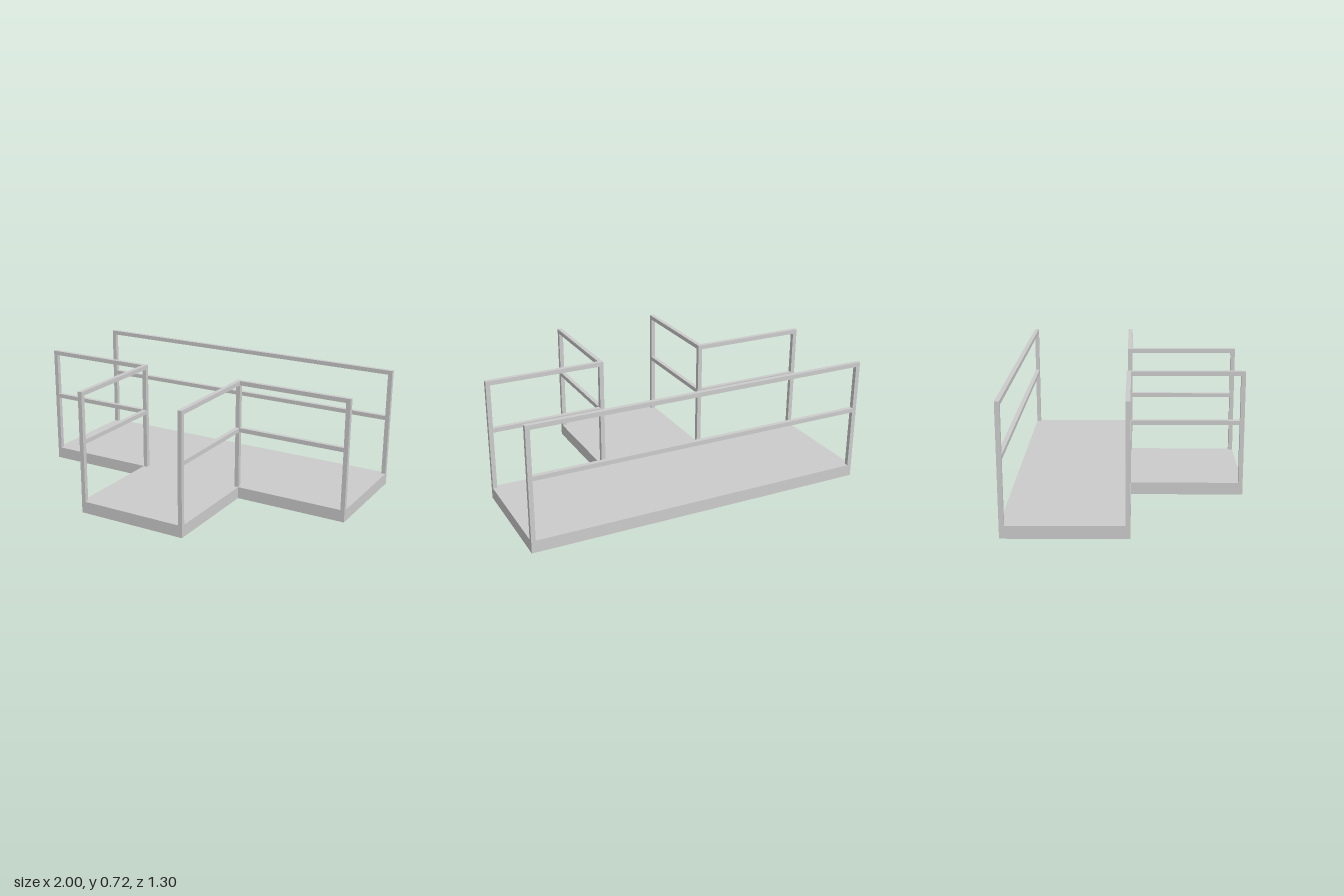
import * as THREE from 'three';

const material = new THREE.MeshStandardMaterial({ color: 0xcccccc, flatShading: true });
const BAR = 0.025, DECK = 0.07, TOP = 0.718, MID = 0.437, SKIN = 0.006;

// T-shaped outline in (x, -z), shrunk inwards by the given inset
function outline(inset) {
  const wing = 1 - inset, stem = 0.332 - inset;
  const back = 0.65 - inset, step = -0.015 + inset, front = -0.65 + inset;
  return [
    [-wing, back], [-wing, step], [-stem, step], [-stem, front],
    [stem, front], [stem, step], [wing, step], [wing, back],
  ].map(([x, y]) => new THREE.Vector2(x, y));
}

// Lay a flat shape horizontally, rising from y by the given height
function slab(name, shape, y, height) {
  const geometry = new THREE.ExtrudeGeometry(shape, { depth: height, bevelEnabled: false });
  geometry.rotateX(-Math.PI / 2);
  geometry.translate(0, y, 0);
  const mesh = new THREE.Mesh(geometry, material);
  mesh.name = name;
  return mesh;
}

function bar(name, w, h, d, x, y, z) {
  const mesh = new THREE.Mesh(new THREE.BoxGeometry(w, h, d), material);
  mesh.position.set(x, y, z);
  mesh.name = name;
  return mesh;
}

// Upright standing on the deck
function post(x, z) {
  return bar('post', BAR, TOP - DECK, BAR, x, (TOP + DECK) / 2, z);
}

// Top and middle rails fitted between two posts
function rails(x0, z0, x1, z1) {
  const alongX = z0 === z1;
  const length = Math.hypot(x1 - x0, z1 - z0) - BAR;
  return [['topRail', TOP], ['middleRail', MID]].map(([name, y]) =>
    bar(name, alongX ? length : BAR, BAR, alongX ? BAR : length,
      (x0 + x1) / 2, y - BAR / 2, (z0 + z1) / 2));
}

export function createModel() {
  const model = new THREE.Group();
  model.name = 'railedPlatform';

  // Deck plate over a thin skirt, open underneath
  model.add(slab('deck', new THREE.Shape(outline(0)), DECK - SKIN, SKIN));
  const skirt = new THREE.Shape(outline(0));
  skirt.holes.push(new THREE.Path(outline(SKIN)));
  model.add(slab('skirt', skirt, 0, DECK - SKIN));

  const end = 1 - BAR / 2, inner = 0.332 - BAR / 2;
  const back = -0.65 + BAR / 2, step = 0.015 - BAR / 2, front = 0.65 - BAR / 2;

  // Long railing across the back
  const backRailing = new THREE.Group();
  backRailing.name = 'backRailing';
  backRailing.add(post(-end, back), post(end, back), ...rails(-end, back, end, back));
  model.add(backRailing);

  // L-shaped railings either side of the front walkway
  for (const side of [-1, 1]) {
    const railing = new THREE.Group();
    railing.name = side > 0 ? 'leftRailing' : 'rightRailing';
    railing.add(
      post(side * end, step), post(side * inner, step), post(side * inner, front),
      ...rails(side * end, step, side * inner, step),
      ...rails(side * inner, step, side * inner, front));
    model.add(railing);
  }
  return model;
}
